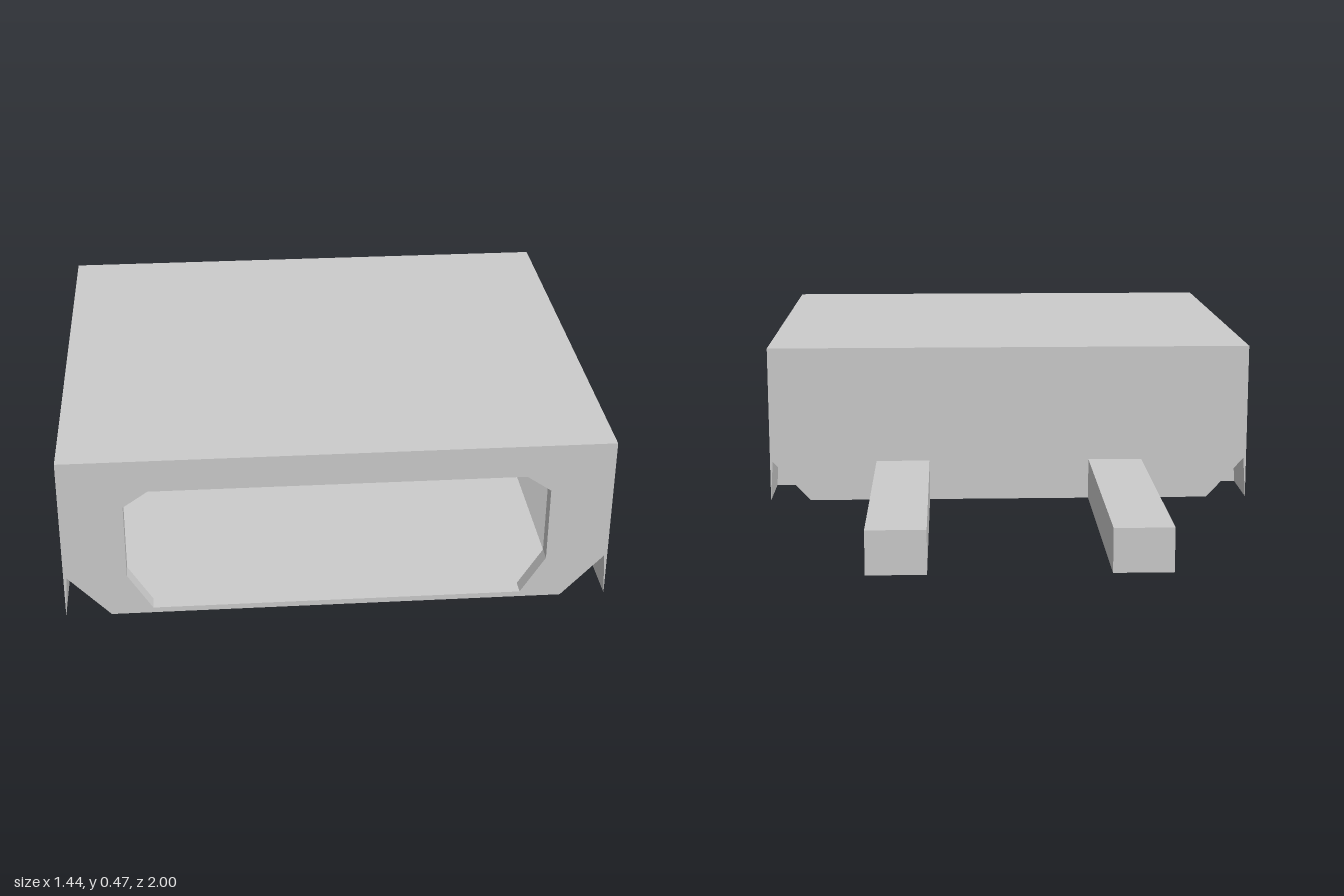
import * as THREE from 'three';

const material = new THREE.MeshStandardMaterial({ color: 0xcccccc, flatShading: true, side: THREE.DoubleSide });

const toPath = (points, Type = THREE.Shape) => new Type(points.map(([x, y]) => new THREE.Vector2(x, y)));
const mirrorPoints = (half) => [...half, ...half.map(([x, y]) => [-x, y]).reverse()];

const W = 0.72, H = 0.465, BACK = -0.23, FRONT = 1, PLATE = 0.04, SLOT_TOP = 0.065;

// Housing outline, right half from bottom centre to top; V groove at each lower corner
const outline = mirrorPoints([[0.6, 0], [0.712, 0.12], [W, 0], [W, H]]);
// Hollow interior
const interior = mirrorPoints([[0.597, 0.004], [0.709, 0.124], [0.712, 0.125], [0.712, H - 0.008]]);
// Shell above the side windows, an open arch
const arch = mirrorPoints([
  [0.655, SLOT_TOP], [0.709, 0.124], [0.712, 0.125], [0.712, H - 0.008],
]).concat([
  [-0.661, SLOT_TOP], [-0.712, 0.12], [-0.716, SLOT_TOP], [-W, SLOT_TOP], [-W, H],
  [W, H], [W, SLOT_TOP], [0.716, SLOT_TOP], [0.712, 0.12], [0.661, SLOT_TOP],
]);
// Front opening with cut corners
const opening = mirrorPoints([[0.49, 0.015], [0.555, 0.12], [0.555, 0.33], [0.49, 0.375]]);

export function createModel() {
  const model = new THREE.Group();

  function add(name, geometry) {
    const mesh = new THREE.Mesh(geometry, material);
    mesh.name = name;
    model.add(mesh);
  }
  function extrude(name, shape, z0, z1) {
    const geometry = new THREE.ExtrudeGeometry(shape, { depth: z1 - z0, bevelEnabled: false });
    add(name, geometry.translate(0, 0, z0));
  }
  function box(name, x0, x1, y0, y1, z0, z1) {
    const geometry = new THREE.BoxGeometry(x1 - x0, y1 - y0, z1 - z0);
    add(name, geometry.translate((x0 + x1) / 2, (y0 + y1) / 2, (z0 + z1) / 2));
  }

  // Front frame around the opening
  const frame = toPath(outline);
  frame.holes.push(toPath(opening, THREE.Path));
  extrude('frontFrame', frame, FRONT - PLATE, FRONT);

  // Thin shell, interrupted by the two side windows
  const shell = toPath(outline);
  shell.holes.push(toPath(interior, THREE.Path));
  for (const [z0, z1] of [[BACK, -0.03], [0.03, 0.04], [0.1, FRONT - PLATE]]) {
    extrude('shell', shell, z0, z1);
  }
  for (const [z0, z1] of [[-0.03, 0.03], [0.04, 0.1]]) {
    extrude('windowShell', toPath(arch), z0, z1);
    box('windowFloor', -0.5, 0.5, 0, 0.004, z0, z1);
  }

  // Ribs beside the windows, filling the lower part of the groove
  for (const side of [-1, 1]) {
    const rib = toPath([[0.6, 0], [W, 0], [W, SLOT_TOP], [0.66, SLOT_TOP]].map(([x, y]) => [x * side, y]));
    for (const z of [-0.04, 0.03, 0.1]) extrude('windowRib', rib, z, z + 0.01);
  }

  // Back wall, notched where the pins enter
  const backWall = toPath(mirrorPoints([
    [0.24, 0], [0.24, 0.12], [0.4, 0.12], [0.4, 0], [0.6, 0], [0.712, 0.12], [W, 0], [W, H],
  ]));
  extrude('backWall', backWall, BACK, BACK + 0.008);

  // Pins with a short hollow collar at the wall
  for (const side of [-1, 1]) {
    const rect = (m) => [[0.24 + m, m], [0.4 - m, m], [0.4 - m, 0.12 - m], [0.24 + m, 0.12 - m]]
      .map(([x, y]) => [x * side, y]);
    const collar = toPath(rect(0));
    collar.holes.push(toPath(rect(0.004), THREE.Path));
    extrude('pinCollar', collar, -0.265, BACK + 0.008);
    extrude('pin', toPath(rect(0)), -1, -0.265);
  }

  return model;
}
